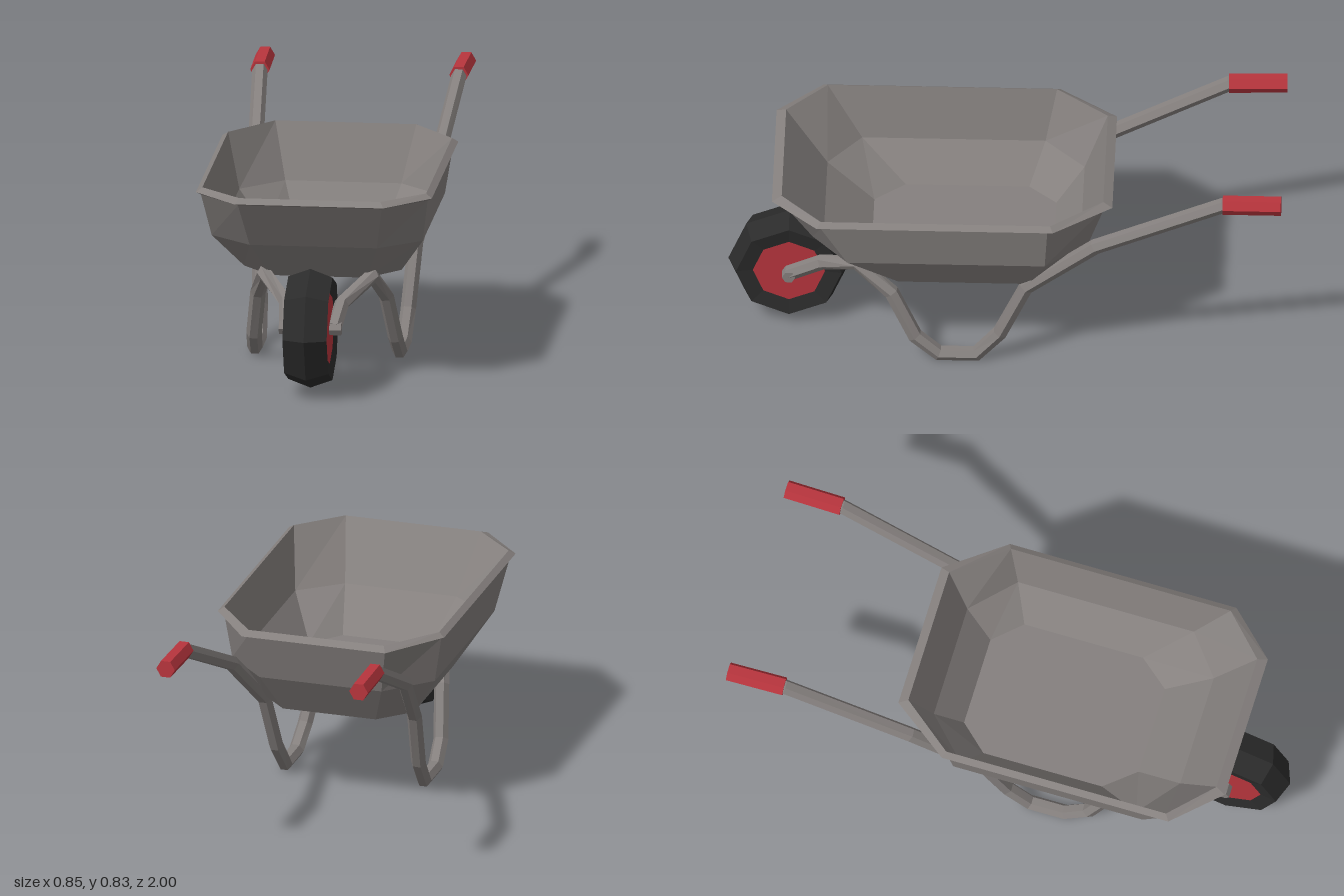
import * as THREE from 'three';

const mat = (color) => new THREE.MeshStandardMaterial({ color, flatShading: true });

// Skin a list of equal-length point loops, closing both ends with fans
function loft(rings) {
  const n = rings[0].length, pos = [];
  const tri = (...pts) => pts.forEach((p) => pos.push(p.x, p.y, p.z));
  for (let i = 0; i < rings.length - 1; i++) {
    for (let j = 0; j < n; j++) {
      const k = (j + 1) % n, a = rings[i], b = rings[i + 1];
      tri(a[j], a[k], b[k]);
      tri(a[j], b[k], b[j]);
    }
  }
  const first = rings[0], last = rings[rings.length - 1];
  for (let j = 1; j < n - 1; j++) {
    tri(first[0], first[j + 1], first[j]);
    tri(last[0], last[j], last[j + 1]);
  }
  const g = new THREE.BufferGeometry();
  g.setAttribute('position', new THREE.Float32BufferAttribute(pos, 3));
  g.computeVertexNormals();
  return g;
}

// Hexagonal bar following a bent path
function bar(path, r) {
  const dirs = path.slice(1).map((p, i) => p.clone().sub(path[i]).normalize());
  return loft(path.map((p, i) => {
    const t = (dirs[i - 1] || dirs[0]).clone().add(dirs[i] || dirs[i - 1]).normalize();
    const u = new THREE.Vector3(1, 0, 0).addScaledVector(t, -t.x).normalize();
    const v = t.clone().cross(u);
    return Array.from({ length: 6 }, (_, k) => {
      const a = (k * Math.PI) / 3;
      return p.clone().addScaledVector(u, r * Math.cos(a)).addScaledVector(v, r * Math.sin(a));
    });
  }));
}

// Chamfered rectangle at height y: half width, half end width, front/back z and their corner z
function trayRing([y, x, cx, zf, zfc, zb, zbc]) {
  const half = [[cx, zf], [x, zfc], [x, zbc], [cx, zb]];
  const other = half.map(([a, z]) => [-a, z]).reverse();
  return [...half, ...other].map(([a, z]) => new THREE.Vector3(a, y, z));
}

export function createModel() {
  const model = new THREE.Group();
  const steel = mat(0x85807e), red = mat(0xb8353d), rubber = mat(0x2b2b2b);
  const add = (name, geometry, material, parent = model) => {
    const m = new THREE.Mesh(geometry, material);
    m.name = name;
    parent.add(m);
    return m;
  };

  // Tray: up the outside, over the rolled rim and down the inside
  add('tray', loft([
    [0.365, 0.285, 0.175, 0.51, 0.38, -0.20, -0.09],
    [0.52, 0.382, 0.23, 0.69, 0.56, -0.305, -0.15],
    [0.693, 0.41, 0.26, 0.80, 0.655, -0.36, -0.16],
    [0.705, 0.427, 0.27, 0.835, 0.67, -0.39, -0.18],
    [0.72, 0.405, 0.255, 0.80, 0.655, -0.357, -0.17],
    [0.52, 0.36, 0.21, 0.65, 0.53, -0.275, -0.13],
    [0.39, 0.257, 0.165, 0.48, 0.37, -0.175, -0.075],
  ].map(trayRing)), steel);

  // Frame bars with grips, mirrored left and right
  const framePath = [
    [0.363, 0.80, -0.97], [0.36, 0.795, -0.79], [0.327, 0.572, -0.33],
    [0.283, 0.35, -0.08], [0.268, 0.13, 0.015], [0.262, 0.028, 0.10],
    [0.262, 0.028, 0.235], [0.256, 0.10, 0.32], [0.232, 0.275, 0.405],
    [0.195, 0.378, 0.53], [0.10, 0.305, 0.66], [0.085, 0.24, 0.78],
  ];
  for (const [side, s] of [['left', 1], ['right', -1]]) {
    const frame = new THREE.Group();
    frame.name = side + 'Frame';
    model.add(frame);
    const at = ([x, y, z]) => new THREE.Vector3(s * x, y, z);
    add(side + 'FrameBar', bar(framePath.map(at), 0.028), steel, frame);
    add(side + 'Grip', bar([[0.364, 0.80, -1], [0.36, 0.797, -0.79]].map(at), 0.035), red, frame);
  }

  // Eight-sided wheel turning about the x axis
  const wheel = new THREE.Group();
  wheel.name = 'wheel';
  wheel.position.set(0, 0.24, 0.78);
  wheel.rotation.z = Math.PI / 2;
  model.add(wheel);
  const tyre = [[0.13, -0.07], [0.19, -0.08], [0.22, 0], [0.19, 0.08], [0.13, 0.07]]
    .map(([r, y]) => new THREE.Vector2(r, y));
  add('tyre', new THREE.LatheGeometry(tyre, 8), rubber, wheel);
  add('hub', new THREE.CylinderGeometry(0.13, 0.13, 0.14, 8), red, wheel);
  add('axle', new THREE.CylinderGeometry(0.024, 0.024, 0.225, 6), steel, wheel);

  return model;
}
